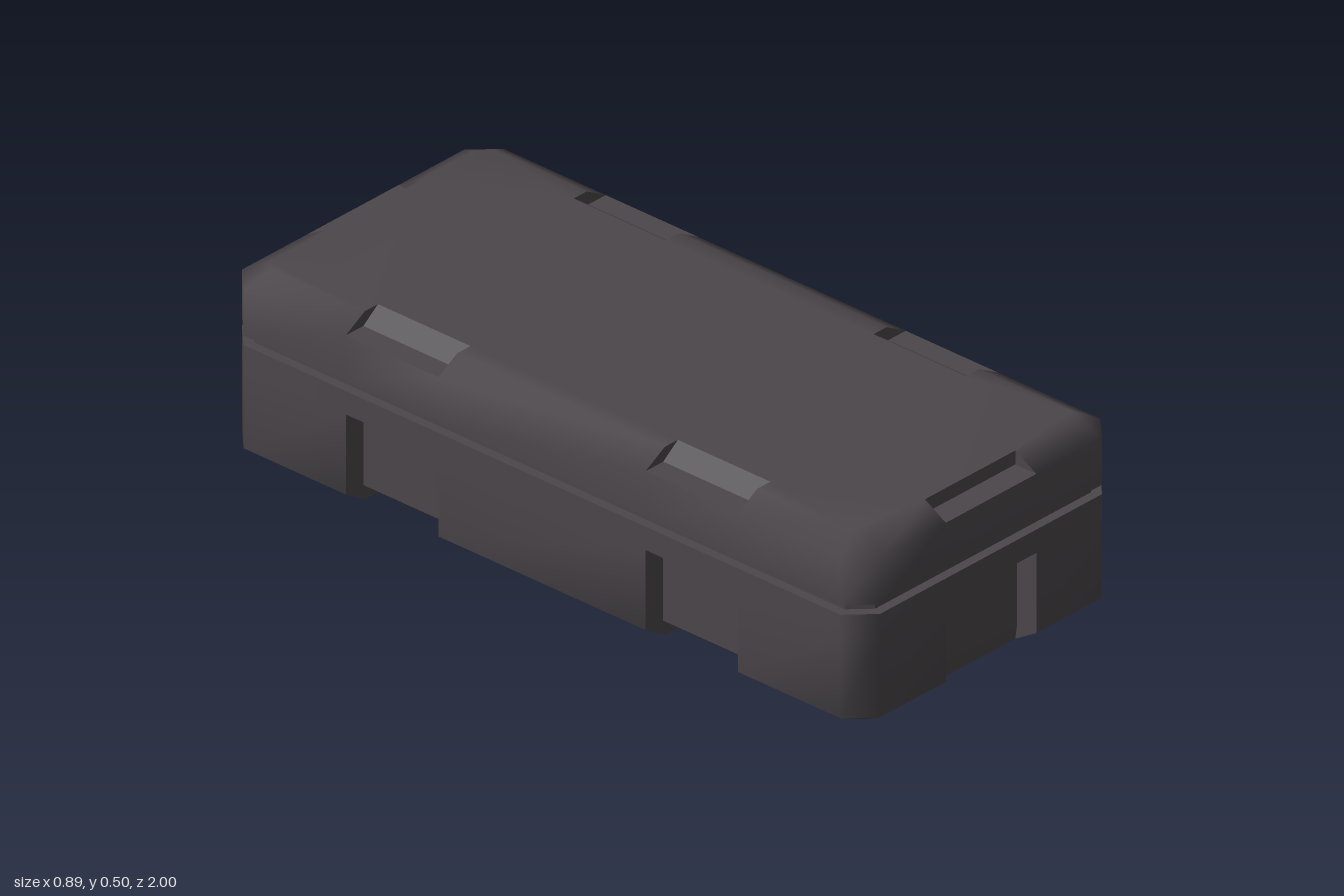
import * as THREE from 'three';
import { mergeVertices } from 'three/addons/utils/BufferGeometryUtils.js';

const casing = new THREE.MeshStandardMaterial({ color: 0x4b464a, side: THREE.DoubleSide });
casing.name = 'charcoal casing';

// Stations around half of the plan: x, z and the inset direction
const K = Math.tan(Math.PI / 8);
const half = [
  [0.445, 0.935, 1, K], [0.445, 0.615, 1, 0], [0.445, 0.325, 1, 0],
  [0.445, -0.325, 1, 0], [0.445, -0.615, 1, 0], [0.445, -0.935, 1, -K],
  [0.38, -1, K, -1], [0.155, -1, 0, -1], [-0.155, -1, 0, -1], [-0.38, -1, -K, -1],
];
const stations = [...half, ...half.map((s) => s.map((v) => -v))];
const count = stations.length;
const notchKind = (i) => ({ 1: 'side', 3: 'side', 7: 'end' })[i % 10];

// Profiles run bottom to top as [inset, y]
const basePlain = [[0.065, 0], [0, 0.04], [0, 0.253], [0, 0.315]];
const groove = [[0, 0.315], [0.025, 0.315], [0.025, 0.34], [0, 0.34]];
const lidPlain = [[0, 0.34], [0, 0.463], [0.065, 0.5]];
const pocket = {
  side: [[0.11, 0], [0.06, 0.04], [0.06, 0.23], [0, 0.253]],
  end: [[0.066, 0], [0.06, 0.04], [0.06, 0.23], [0, 0.253]],
};
const lidNotch = {
  side: [[0, 0.463], [0.06, 0.463], [0.11, 0.5]],
  end: [[0, 0.463], [0.066, 0.463], [0.066, 0.5]],
};

const place = ([x, z, nx, nz], [inset, y]) => [x - nx * inset, y, z - nz * inset];

// Strip of quads between station i and the next one
function strip(out, i, profile) {
  const a = stations[i], b = stations[(i + 1) % count];
  for (let k = 0; k + 1 < profile.length; k++) {
    const a0 = place(a, profile[k]), a1 = place(a, profile[k + 1]);
    const b0 = place(b, profile[k]), b1 = place(b, profile[k + 1]);
    out.push(...a0, ...b0, ...b1, ...a0, ...b1, ...a1);
  }
}

// End cheek of a recess, fanned from its first point
function cheek(out, station, points, flip) {
  const p = points.map((q) => place(station, q));
  for (let k = 1; k + 1 < p.length; k++) {
    out.push(...p[0], ...(flip ? p[k + 1] : p[k]), ...(flip ? p[k] : p[k + 1]));
  }
}

function makeMesh(name, positions, smooth) {
  let geometry = new THREE.BufferGeometry();
  geometry.setAttribute('position', new THREE.Float32BufferAttribute(positions, 3));
  if (smooth) geometry = mergeVertices(geometry, 1e-4);
  geometry.computeVertexNormals();
  const mesh = new THREE.Mesh(geometry, casing);
  mesh.name = name;
  return mesh;
}

export function createModel() {
  const model = new THREE.Group();
  model.name = 'lidded case';
  const base = [], lid = [], seam = [], pockets = [], notches = [], contour = [];

  for (let i = 0; i < count; i++) {
    const a = stations[i], b = stations[(i + 1) % count];
    const kind = notchKind(i);
    const addCorner = (s, inset) => {
      const p = place(s, [inset, 0.5]);
      contour.push(new THREE.Vector2(p[0], -p[2]));
    };
    strip(seam, i, groove);
    strip(base, i, kind ? basePlain.slice(2) : basePlain);
    strip(lid, i, kind ? lidPlain.slice(0, 2) : lidPlain);
    addCorner(a, 0.065);
    if (!kind) continue;

    // Foot pocket below and matching stacking notch above
    const foot = pocket[kind], rest = lidNotch[kind];
    strip(pockets, i, foot);
    strip(notches, i, rest);
    [a, b].forEach((s, n) => {
      cheek(pockets, s, [[0, 0.04], [0.065, 0], ...foot], n === 0);
      cheek(notches, s, [...rest, [0.065, 0.5]], n === 0);
      addCorner(s, rest[2][0]);
    });
  }

  // Flat top panel, cut around the notches
  for (const face of THREE.ShapeUtils.triangulateShape(contour.slice(), [])) {
    for (const v of face) lid.push(contour[v].x, 0.5, -contour[v].y);
  }

  model.add(
    makeMesh('baseShell', base, true),
    makeMesh('lidShell', lid, true),
    makeMesh('seamGroove', seam, false),
    makeMesh('footPockets', pockets, false),
    makeMesh('stackingNotches', notches, false),
  );
  return model;
}
